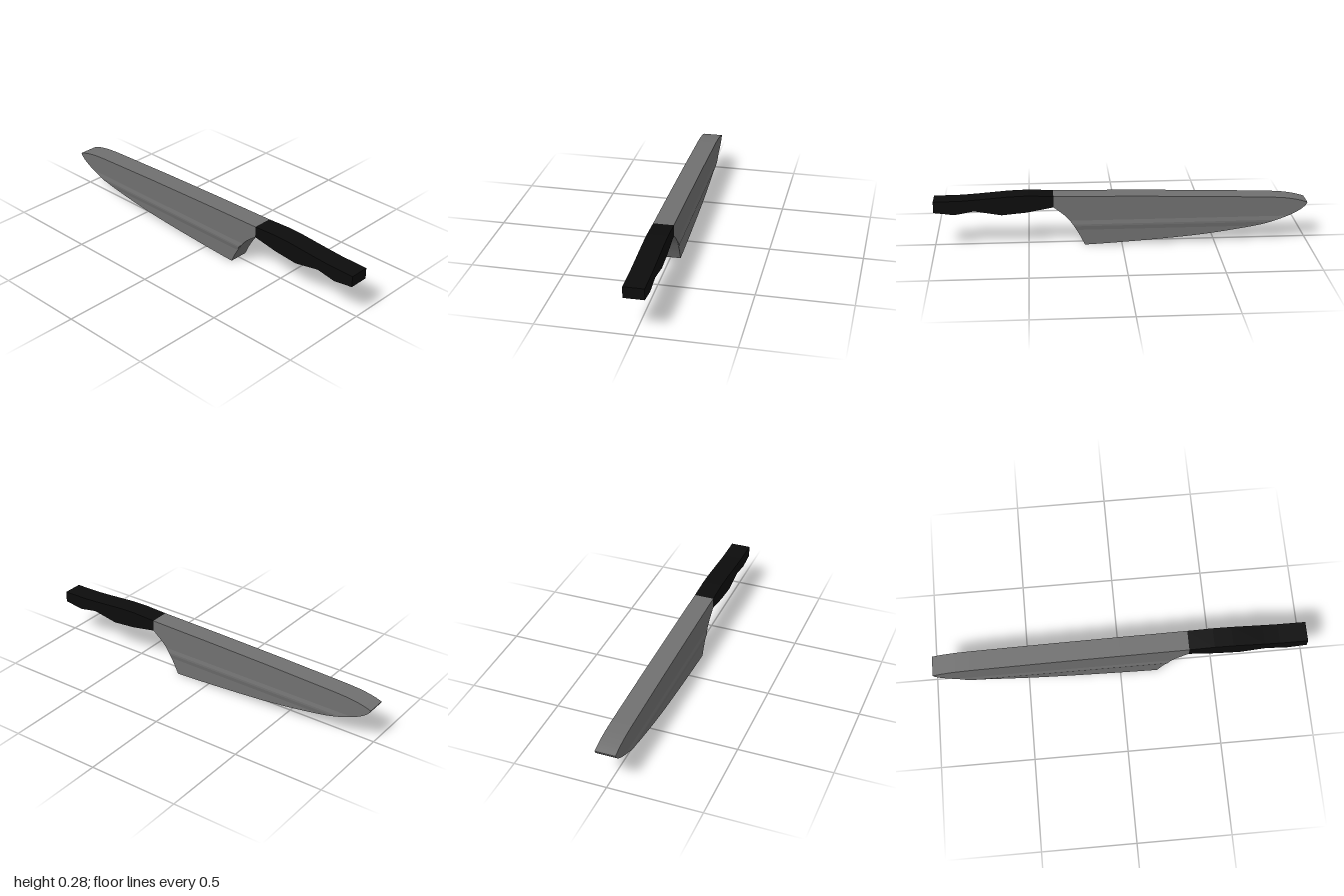
import * as THREE from 'three';

const HALF = 0.054; // half thickness of blade and handle

// Extrude a side profile, drawn as (-z, y), across the full thickness in x
function slab(name, shape, material) {
  const geometry = new THREE.ExtrudeGeometry(shape, { depth: HALF * 2, bevelEnabled: false, curveSegments: 10 });
  geometry.translate(0, 0, -HALF).rotateY(Math.PI / 2);
  const mesh = new THREE.Mesh(geometry, material);
  mesh.name = name;
  return mesh;
}

const vectors = (points) => points.map(([x, y]) => new THREE.Vector2(x, y));

// Piecewise linear lookup in rows of [y, z]
function lookup(rows, y) {
  let i = 0;
  while (i < rows.length - 2 && y > rows[i + 1][0]) i++;
  const [a, b] = [rows[i], rows[i + 1]];
  return THREE.MathUtils.mapLinear(y, a[0], b[0], a[1], b[1]);
}

export function createModel() {
  const steel = new THREE.MeshStandardMaterial({ color: 0x707070 });
  steel.name = 'steel grey';
  const black = new THREE.MeshStandardMaterial({ color: 0x0c0c0c });
  black.name = 'handle black';

  const group = new THREE.Group();
  group.name = 'knife';

  // Blade: curved heel, sweeping cutting edge, rounded tip, nearly straight spine
  const blade = new THREE.Shape();
  blade.moveTo(-0.365, 0.277);
  blade.lineTo(-0.365, 0.216);
  blade.splineThru(vectors([[-0.29, 0.152], [-0.233, 0.07], [-0.2, 0]].map(([x, y]) => [x - (y === 0.07 ? 0.002 : 0), y])));
  blade.splineThru(vectors([[0, 0.01], [0.3, 0.031], [0.5, 0.052], [0.7, 0.082], [0.8, 0.104],
    [0.9, 0.139], [0.96, 0.17], [0.99, 0.195], [1, 0.213]]));
  blade.splineThru(vectors([[0.95, 0.228], [0.88, 0.24], [0.8, 0.246]]));
  blade.lineTo(0.4, 0.26);
  blade.lineTo(0, 0.27);
  blade.closePath();
  group.add(slab('blade', blade, steel));

  // Handle: faceted grip with two finger swells underneath
  const handle = new THREE.Shape(vectors([
    [-1, 0.26], [-1, 0.2], [-0.89, 0.185], [-0.785, 0.204], [-0.64, 0.178], [-0.51, 0.19],
    [-0.365, 0.216], [-0.365, 0.277], [-0.5, 0.283], [-0.6, 0.28], [-0.77, 0.267], [-0.85, 0.262],
  ]));
  group.add(slab('handle', handle, black));

  // Low ridge along both blade faces, its ends following the heel and edge
  const section = new THREE.Shape(vectors([
    [-HALF, 0.085], [HALF, 0.085], [0.0585, 0.107], [0.0585, 0.117], [HALF, 0.138],
    [-HALF, 0.138], [-0.0585, 0.117], [-0.0585, 0.107],
  ]));
  const heel = [[0.085, 0.24], [0.107, 0.253], [0.138, 0.274]];
  const tip = [[0.085, -0.71], [0.107, -0.805], [0.138, -0.892]];
  const geometry = new THREE.ExtrudeGeometry(section, { depth: 1, bevelEnabled: false });
  const p = geometry.attributes.position;
  for (let i = 0; i < p.count; i++) {
    p.setZ(i, lookup(p.getZ(i) > 0.5 ? heel : tip, p.getY(i)));
  }
  geometry.computeVertexNormals();
  const ridge = new THREE.Mesh(geometry, steel);
  ridge.name = 'bladeRidge';
  group.add(ridge);

  return group;
}
